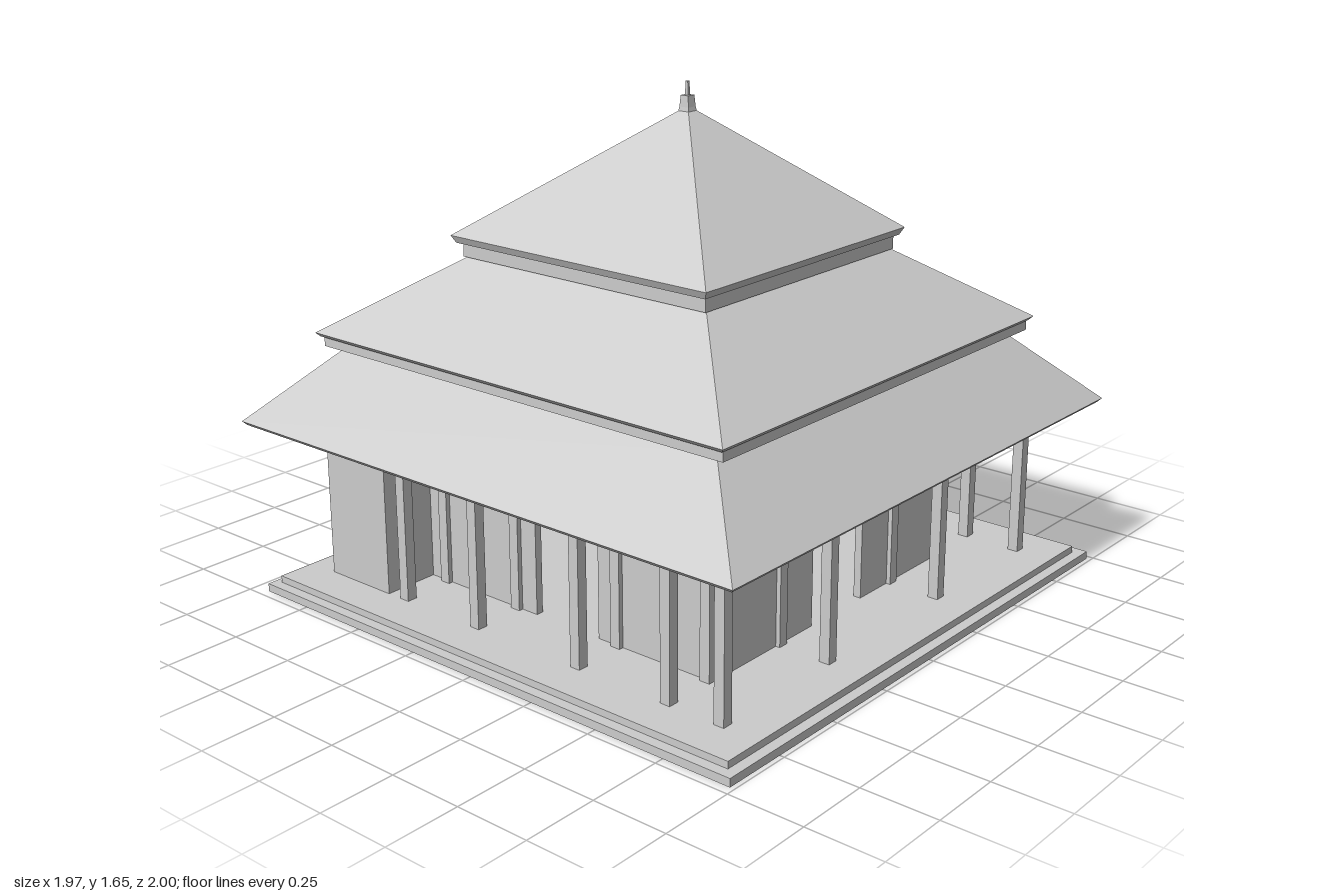
import * as THREE from 'three';

const material = new THREE.MeshStandardMaterial({ color: 0xcccccc, side: THREE.DoubleSide });

// Block between two rectangular sections: [x0, x1, z0, z1] at y0 and at y1
function block(name, y0, low, y1, high = low) {
  const geometry = new THREE.BoxGeometry(1, 1, 1);
  const p = geometry.attributes.position;
  for (let i = 0; i < p.count; i++) {
    const top = p.getY(i) > 0;
    const r = top ? high : low;
    p.setXYZ(i, p.getX(i) < 0 ? r[0] : r[1], top ? y1 : y0, p.getZ(i) < 0 ? r[2] : r[3]);
  }
  geometry.computeVertexNormals();
  const mesh = new THREE.Mesh(geometry, material);
  mesh.name = name;
  return mesh;
}

const FLOOR = 0.05, EAVE = 0.567;
const THICK = 0.026;

// Square post from floor to eave
const post = (name, x, z, h = 0.018) => block(name, FLOOR, [x - h, x + h, z - h, z + h], EAVE);

// Wall with a segmental-arched doorway, drawn in x/y and extruded inwards along z
function archedWall(name, u0, u1, d0, d1) {
  const spring = 0.375, rise = 0.065;
  const half = (d1 - d0) / 2, mid = (d0 + d1) / 2;
  const radius = (half * half + rise * rise) / (2 * rise);
  const angle = Math.asin(half / radius);
  const shape = new THREE.Shape();
  shape.moveTo(u0, FLOOR);
  shape.lineTo(d0, FLOOR);
  shape.lineTo(d0, spring);
  shape.absarc(mid, spring + rise - radius, radius, Math.PI / 2 + angle, Math.PI / 2 - angle, true);
  shape.lineTo(d1, FLOOR);
  shape.lineTo(u1, FLOOR);
  shape.lineTo(u1, EAVE);
  shape.lineTo(u0, EAVE);
  const geometry = new THREE.ExtrudeGeometry(shape, { depth: THICK, bevelEnabled: false, curveSegments: 16 });
  const mesh = new THREE.Mesh(geometry, material);
  mesh.name = name;
  return mesh;
}

export function createModel() {
  const model = new THREE.Group();
  model.name = 'pavilion';

  // Stepped plinth
  model.add(block('lowerPlinth', 0, [-0.97, 0.98, -0.94, 0.985], 0.027));
  model.add(block('upperPlinth', 0.027, [-0.935, 0.94, -0.915, 0.95], FLOOR));

  // Hall front wall and side walls, each with a doorway
  const front = archedWall('hallFrontWall', -0.61, 0.62, -0.125, 0.137);
  front.position.z = 0.635 - THICK;
  model.add(front);
  for (const [name, x] of [['hallLeftWall', 0.62 - THICK], ['hallRightWall', -0.61]]) {
    const wall = archedWall(name, -0.635, 0.78, -0.19, 0.07);
    wall.rotation.y = Math.PI / 2; // local x runs towards -z
    wall.position.x = x;
    model.add(wall);
  }

  // Back wall and the closed wings beside the hall
  model.add(block('backWall', FLOOR, [-0.79, 0.805, -0.795, -0.77], EAVE));
  model.add(block('rightWing', FLOOR, [-0.803, -0.6, -0.795, -0.54], EAVE));
  model.add(block('leftWing', FLOOR, [0.61, 0.815, -0.795, -0.54], EAVE));

  // Veranda columns along the front
  const columns = new THREE.Group();
  columns.name = 'verandaColumns';
  for (const x of [-0.785, -0.287, 0.302, 0.797]) columns.add(post('frontColumn', x, 0.812));

  // Veranda columns along both sides
  const bays = [0.617, 0.27, -0.15, -0.468];
  for (const z of bays) {
    columns.add(post('rightColumn', -0.785, z));
    columns.add(post('leftColumn', 0.797, z));
  }
  model.add(columns);

  // Pilasters set into the hall and back walls
  const pilasters = new THREE.Group();
  pilasters.name = 'pilasters';
  for (const z of bays) {
    pilasters.add(post('rightPilaster', -0.608, z));
    pilasters.add(post('leftPilaster', 0.618, z));
  }
  for (const x of [-0.29, 0.302]) pilasters.add(post('frontPilaster', x, 0.632));
  for (const x of [-0.785, -0.608, 0.618, 0.797]) pilasters.add(post('backPilaster', x, -0.79));
  model.add(pilasters);

  // Three roof tiers: [name, eave y, fascia height, half x, half z, top y, top section]
  const tiers = [
    ['lowerRoof', EAVE, 0.013, 0.985, 1.0, 0.825, [-0.742, 0.735, -0.75, 0.75]],
    ['middleRoof', 0.857, 0.013, 0.81, 0.825, 1.11, [-0.462, 0.465, -0.475, 0.485]],
    ['upperRoof', 1.153, 0.024, 0.502, 0.516, 1.56, [0.01, 0.048, -0.01, 0.027]],
  ];
  for (const [name, y, fascia, hx, hz, top, section] of tiers) {
    const rect = (inset) => [-hx + inset, hx - inset, -hz + inset, hz - inset];
    model.add(block(name + 'Fascia', y, rect(0.012), y + fascia, rect(0)));
    model.add(block(name, y + fascia, rect(0), top, section));
  }

  // Recessed bands between the tiers
  model.add(block('lowerBand', 0.825, [-0.79, 0.79, -0.805, 0.81], 0.86));
  model.add(block('upperBand', 1.108, [-0.475, 0.473, -0.488, 0.493], 1.156));

  // Finial: flared foot, square block and spike
  const square = (h) => [0.029 - h, 0.029 + h, 0.008 - h, 0.008 + h];
  model.add(block('finialFoot', 1.55, square(0.022), 1.572, square(0.018)));
  model.add(block('finialBlock', 1.572, square(0.018), 1.608, square(0.015)));
  model.add(block('finialSpike', 1.608, square(0.006), 1.652, square(0.004)));

  return model;
}
